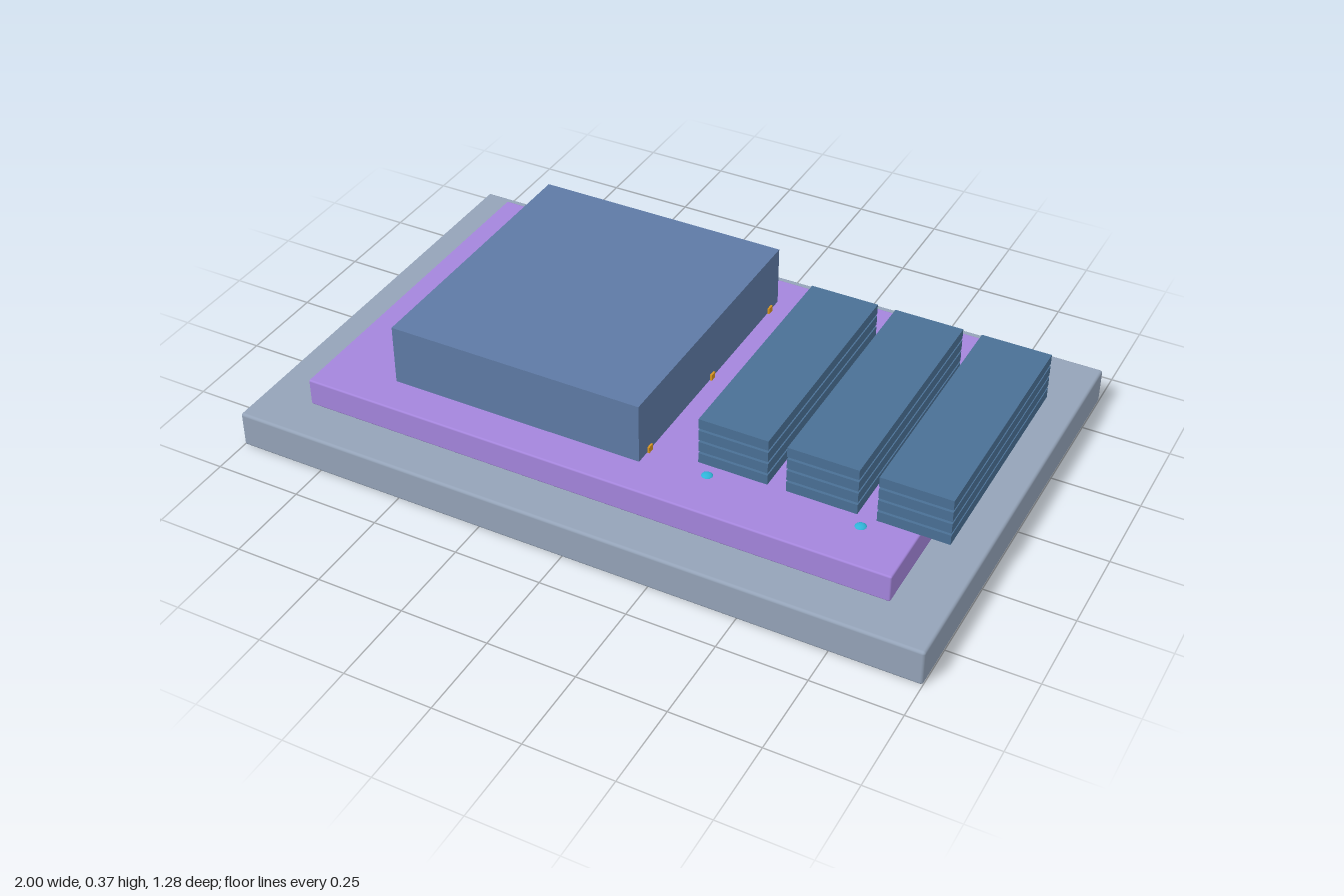
import * as THREE from 'three';
import { RoundedBoxGeometry } from 'three/addons/geometries/RoundedBoxGeometry.js';

const mat = (color) => new THREE.MeshStandardMaterial({ color });

export function createModel() {
  const model = new THREE.Group();
  model.name = 'chipPackage';

  const slate = mat(0x94a3b8), purple = mat(0xa485dc), dieBlue = mat(0x5e7aa5);
  const memoryBlue = mat(0x4a7095), gold = mat(0xd9941f), cyan = mat(0x2fb5d9);

  const add = (parent, name, geometry, material, x, y, z) => {
    const mesh = new THREE.Mesh(geometry, material);
    mesh.name = name;
    mesh.position.set(x, y, z);
    parent.add(mesh);
    return mesh;
  };

  // Package substrate and the interposer on it, with softened edges
  add(model, 'substrate', new RoundedBoxGeometry(2, 0.106, 1.28, 3, 0.008), slate, 0, 0.053, 0);
  add(model, 'interposer', new RoundedBoxGeometry(1.71, 0.08, 1.03, 3, 0.005), purple, 0, 0.147, 0);

  // Main processor die
  add(model, 'processorDie', new THREE.BoxGeometry(0.745, 0.176, 0.82), dieBlue, -0.268, 0.277, 0);

  // Gold contacts peeking out at both sides of the die
  const contact = new THREE.BoxGeometry(0.02, 0.018, 0.02);
  for (const x of [-0.636, 0.1])
    for (const z of [-0.355, 0, 0.355]) add(model, 'dieContact', contact, gold, x, 0.196, z);

  // Three memory stacks of four separate layers
  const layer = new THREE.BoxGeometry(0.197, 0.0295, 0.68);
  for (const x of [0.338, 0.587, 0.837]) {
    const stack = new THREE.Group();
    stack.name = 'memoryStack';
    for (let i = 0; i < 4; i++) add(stack, 'memoryLayer', layer, memoryBlue, x, 0.204 + i * 0.0365, 0);
    model.add(stack);
  }

  // Cyan solder bumps around the stacks
  const bump = new THREE.SphereGeometry(0.017, 10, 8);
  for (const x of [0.283, 0.711])
    for (const z of [-0.375, 0, 0.375])
      add(model, 'solderBump', bump, cyan, x, 0.184, z).scale.y = 0.5;

  return model;
}
